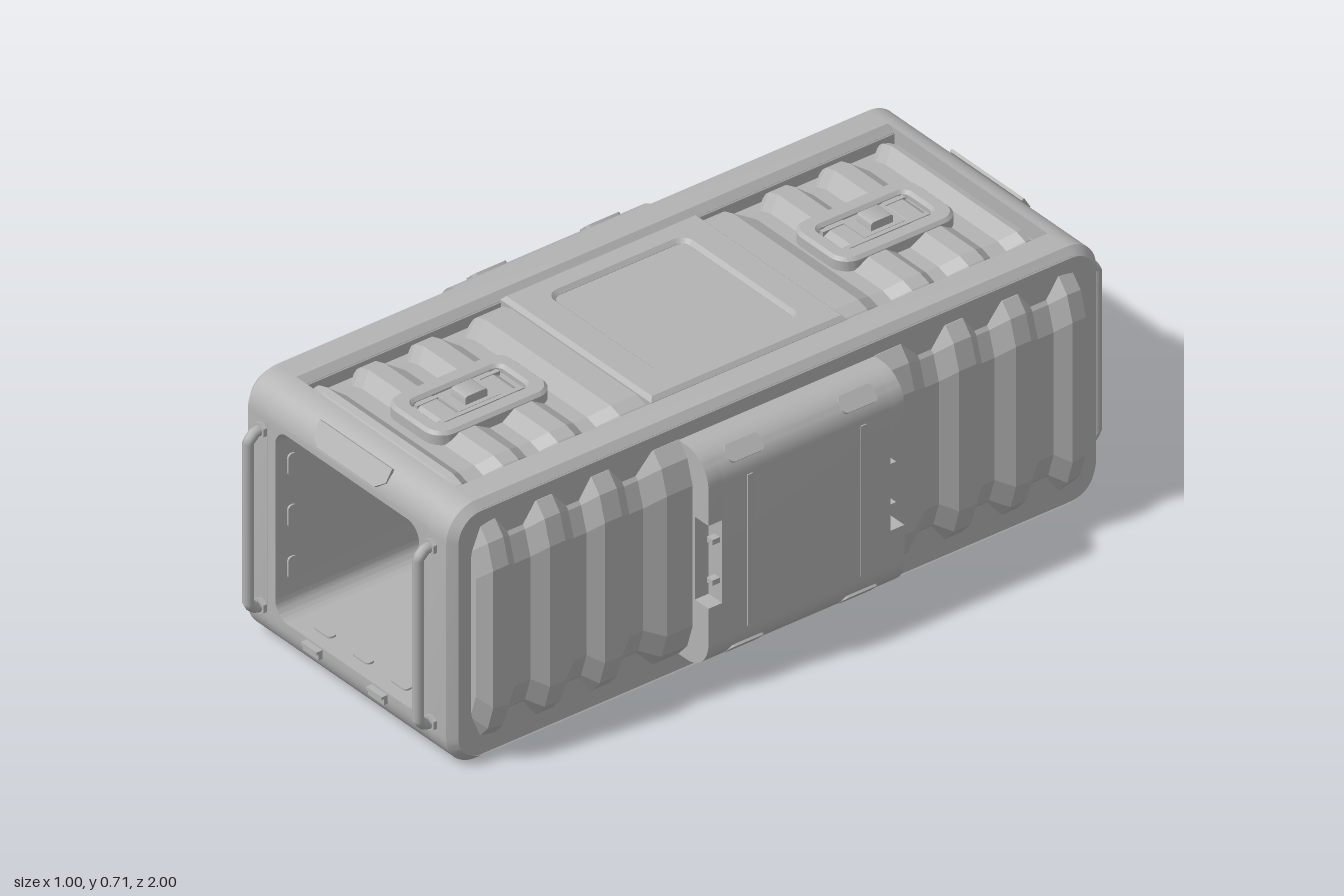
import * as THREE from 'three';
import { toCreasedNormals } from 'three/addons/utils/BufferGeometryUtils.js';

const grey = new THREE.MeshStandardMaterial({ color: 0xb3b3b3 });
grey.name = 'grey metal';

const mesh = (name, geo) => {
  const m = new THREE.Mesh(geo, grey);
  m.name = name;
  return m;
};

const box = (name, w, h, d, x, y, z) => mesh(name, new THREE.BoxGeometry(w, h, d).translate(x, y, z));

// Rectangle with four corner radii: bottom left, bottom right, top right, top left
function rect(x0, y0, x1, y1, r, Type = THREE.Shape) {
  const [a, b, c, d] = Array.isArray(r) ? r : [r, r, r, r];
  const s = new Type();
  s.moveTo(x0 + a, y0);
  s.lineTo(x1 - b, y0);
  if (b) s.absarc(x1 - b, y0 + b, b, -Math.PI / 2, 0);
  s.lineTo(x1, y1 - c);
  if (c) s.absarc(x1 - c, y1 - c, c, 0, Math.PI / 2);
  s.lineTo(x0 + d, y1);
  if (d) s.absarc(x0 + d, y1 - d, d, Math.PI / 2, Math.PI);
  s.lineTo(x0, y0 + a);
  if (a) s.absarc(x0 + a, y0 + a, a, Math.PI, Math.PI * 1.5);
  return s;
}

function ring(outer, hole) {
  outer.holes.push(hole);
  return outer;
}

// Extrude from 0 to depth along z, with an optional bevel kept inside the outline
function extrude(shape, depth, bevel = 0) {
  const geo = new THREE.ExtrudeGeometry(shape, {
    depth: depth - 2 * bevel, curveSegments: 6, bevelEnabled: bevel > 0,
    bevelThickness: bevel, bevelSize: bevel, bevelOffset: -bevel, bevelSegments: 1,
  });
  return toCreasedNormals(geo.translate(0, 0, bevel), 0.5);
}

// Profile drawn as (-z, y), extruded along +x
const alongX = (shape, x0, x1, bevel) => extrude(shape, x1 - x0, bevel).rotateY(Math.PI / 2).translate(x0, 0, 0);
// Profile drawn as (x, -z), extruded upwards
const alongY = (shape, y0, y1, bevel) => extrude(shape, y1 - y0, bevel).rotateX(-Math.PI / 2).translate(0, y0, 0);

// Corrugated panel facing +x: chamfered cross-sections lofted along z
function corrugated(base, top, half, k, end) {
  const stations = [[0.285, 0], [0.36, 0], [0.41, 0.024], [0.45, 0.024], [0.49, 0], [0.54, 0], [0.575, 0.024],
    [0.612, 0.024], [0.655, 0], [0.70, 0], [0.738, 0.024], [0.784, 0.024], [0.82, 0],
    [end - 0.03, 0.004], [end - 0.004, 0.035], [end, 0.2]];
  const section = (d) => {
    const lower = [[base, 0], [top - 0.05 * k, 0], [top - 0.02 * k, 0.035 * k], [top, 0.1 * k]];
    const pts = lower.map(([x, e]) => [Math.max(base, x - d), -half + e + Math.min(d, 0.03)]);
    return [...pts, ...pts.map(([x, y]) => [x, -y]).reverse()];
  };
  const pos = [];
  for (let i = 0; i + 1 < stations.length; i++) {
    const [z0, d0] = stations[i], [z1, d1] = stations[i + 1];
    const p = section(d0), q = section(d1);
    for (let j = 0; j + 1 < p.length; j++) {
      const a = [...p[j], z0], b = [...p[j + 1], z0], c = [...q[j + 1], z1], d = [...q[j], z1];
      pos.push(...a, ...b, ...c, ...a, ...c, ...d);
    }
  }
  const geo = new THREE.BufferGeometry();
  geo.setAttribute('position', new THREE.Float32BufferAttribute(pos, 3));
  geo.computeVertexNormals();
  return geo;
}

// Everything on the +x side
function sideAssembly() {
  const g = new THREE.Group();
  const frame = ring(rect(-0.945, 0, 0.945, 0.7, 0.085), rect(-0.905, 0.035, 0.905, 0.665, 0.06, THREE.Path));
  g.add(mesh('sideFrame', alongX(frame, 0.275, 0.385, 0.02)));

  // Corrugated panels either side of the middle box; a half turn about x makes the second
  for (const turn of [0, Math.PI]) {
    const geo = corrugated(0.295, 0.437, 0.29, 1, 0.892).rotateX(turn).translate(0, 0.355, 0);
    g.add(mesh('sidePanel', geo));
  }

  // Middle box, with a latch notch at each end
  const r = 0.08;
  g.add(mesh('sideBox', extrude(rect(0.29, 0.062, 0.495, 0.643, [0, r, r, 0]), 0.49).translate(0, 0, -0.245)));
  const notched = new THREE.Shape();
  notched.moveTo(0.29, 0.062);
  notched.lineTo(0.495 - r, 0.062);
  notched.absarc(0.495 - r, 0.062 + r, r, -Math.PI / 2, 0);
  [[0.495, 0.24], [0.445, 0.24], [0.445, 0.465], [0.495, 0.465]].forEach(([x, y]) => notched.lineTo(x, y));
  notched.lineTo(0.495, 0.643 - r);
  notched.absarc(0.495 - r, 0.643 - r, r, 0, Math.PI / 2);
  notched.lineTo(0.29, 0.643);
  for (const s of [1, -1]) {
    g.add(mesh('sideBoxEnd', extrude(notched, 0.04).translate(0, 0, s > 0 ? 0.245 : -0.285)));
    for (const y of [0.298, 0.408]) g.add(box('latchLug', 0.02, 0.014, 0.025, 0.477, y, s * 0.255));
    g.add(box('sideRib', 0.006, 0.41, 0.016, 0.495, 0.355, s * 0.165));
    // Corner clips that follow the rounded edges of the box
    for (const [y, tilt] of [[0.619, 1], [0.091, -1]]) {
      const clip = mesh('cornerClip', alongX(rect(-0.05, -0.022, 0.05, 0.022, 0.012), -0.004, 0.004));
      clip.position.set(0.473, y, s * 0.165);
      clip.rotation.z = tilt * 0.8;
      g.add(clip);
    }
  }
  return g;
}

// Everything on the +z end except the front lugs
function endAssembly() {
  const g = new THREE.Group();
  g.add(mesh('topCrossbar', alongX(rect(-0.945, 0.61, -0.865, 0.7, [0, 0, 0, 0.085]), -0.3, 0.3)));

  // Tapered grip plate on the upper edge
  const grip = new THREE.Shape();
  [[-0.105, -0.03], [0.105, -0.03], [0.133, -0.008], [0.133, 0.028], [-0.133, 0.028], [-0.133, -0.008]]
    .forEach(([x, y], i) => (i ? grip.lineTo(x, y) : grip.moveTo(x, y)));
  const plate = mesh('gripPlate', extrude(grip, 0.008));
  plate.position.set(0, 0.662, 0.927);
  plate.rotation.x = -0.55;
  g.add(plate);

  for (const x of [-0.313, 0.313]) {
    // Handle bar with hexagonal mounts
    const path = new THREE.CurvePath();
    const pts = [[0.106, 0.93], [0.106, 0.966], [0.126, 0.986], [0.564, 0.986], [0.584, 0.966], [0.584, 0.93]]
      .map(([y, z]) => new THREE.Vector3(x, y, z));
    for (let i = 0; i + 1 < pts.length; i++) path.add(new THREE.LineCurve3(pts[i], pts[i + 1]));
    g.add(mesh('handleBar', new THREE.TubeGeometry(path, 60, 0.014, 8)));
    for (const y of [0.106, 0.584]) {
      const mount = new THREE.CylinderGeometry(0.021, 0.021, 0.014, 6).rotateX(Math.PI / 2).translate(x, y, 0.949);
      g.add(mesh('handleMount', toCreasedNormals(mount, 0.5)));
    }
  }

  // Small pads just inside the opening, on all four walls
  for (const i of [-1, 0, 1]) {
    const t = i * 0.14;
    const flat = rect(t - 0.03, -0.91, t + 0.03, -0.885, 0.01);
    g.add(mesh('floorPad', alongY(flat, 0.098, 0.105)));
    g.add(mesh('ceilingPad', alongY(flat, 0.605, 0.612)));
    const upright = rect(-0.91, 0.355 + t - 0.03, -0.885, 0.355 + t + 0.03, 0.01);
    g.add(mesh('wallPad', alongX(upright, 0.26, 0.267)), mesh('wallPad', alongX(upright, -0.267, -0.26)));
  }
  return g;
}

// Recessed latch on the roof
function roofLatch() {
  const g = new THREE.Group();
  const rim = ring(rect(-0.103, -0.173, 0.103, 0.173, 0.05), rect(-0.056, -0.13, 0.056, 0.13, 0.02, THREE.Path));
  g.add(mesh('latchRim', alongY(rim, 0.65, 0.698, 0.008)));
  g.add(box('latchFloor', 0.14, 0.02, 0.28, 0, 0.668, 0));
  for (const x of [-0.045, 0.045]) g.add(box('latchRail', 0.012, 0.014, 0.24, x, 0.683, 0));
  g.add(mesh('latchGrip', alongX(rect(-0.032, 0.67, 0.032, 0.713, [0, 0, 0.008, 0.008]), -0.027, 0.027)));
  g.add(box('latchArm', 0.078, 0.016, 0.12, 0, 0.683, 0));
  return g;
}

export function createModel() {
  const model = new THREE.Group();
  model.name = 'cargoContainer';

  // Tunnel lining, floor slab and roof deck
  const lining = ring(rect(-0.3, 0.085, 0.3, 0.625, 0), rect(-0.265, 0.1, 0.265, 0.61, 0.045, THREE.Path));
  model.add(mesh('tunnelLining', extrude(lining, 1.889).translate(0, 0, -0.9445)));
  model.add(mesh('floorSlab', alongX(rect(-0.945, 0, 0.945, 0.099, [0.085, 0.085, 0, 0]), -0.3, 0.3)));
  model.add(box('roofDeck', 0.6, 0.035, 1.78, 0, 0.6325, 0));

  for (const turn of [0, Math.PI]) {
    const side = sideAssembly(), end = endAssembly(), latch = new THREE.Group();
    side.name = 'side';
    side.rotation.y = turn;
    end.name = 'end';
    end.rotation.y = turn;
    // Corrugated roof panel with its latch
    latch.name = 'roofSection';
    const inner = roofLatch();
    inner.name = 'roofLatch';
    inner.position.z = 0.59;
    latch.add(inner, mesh('roofPanel', corrugated(0.64, 0.688, 0.28, 0.5, 0.868).rotateZ(Math.PI / 2)));
    latch.rotation.y = turn;
    model.add(side, end, latch);
  }

  // Middle roof panel with a recessed plate
  const panel = ring(rect(-0.278, -0.28, 0.278, 0.29, 0), rect(-0.21, -0.185, 0.205, 0.2, 0.025, THREE.Path));
  model.add(mesh('roofCentrePanel', alongY(panel, 0.63, 0.697, 0.01)));
  model.add(box('roofCentrePlate', 0.44, 0.03, 0.41, 0, 0.671, -0.005));

  // Lugs under the front opening
  for (const x of [-0.12, 0.12]) {
    model.add(box('frontLug', 0.058, 0.024, 0.012, x, 0.083, 0.95));
    model.add(box('frontLugLip', 0.058, 0.008, 0.018, x, 0.091, 0.953));
  }
  return model;
}
